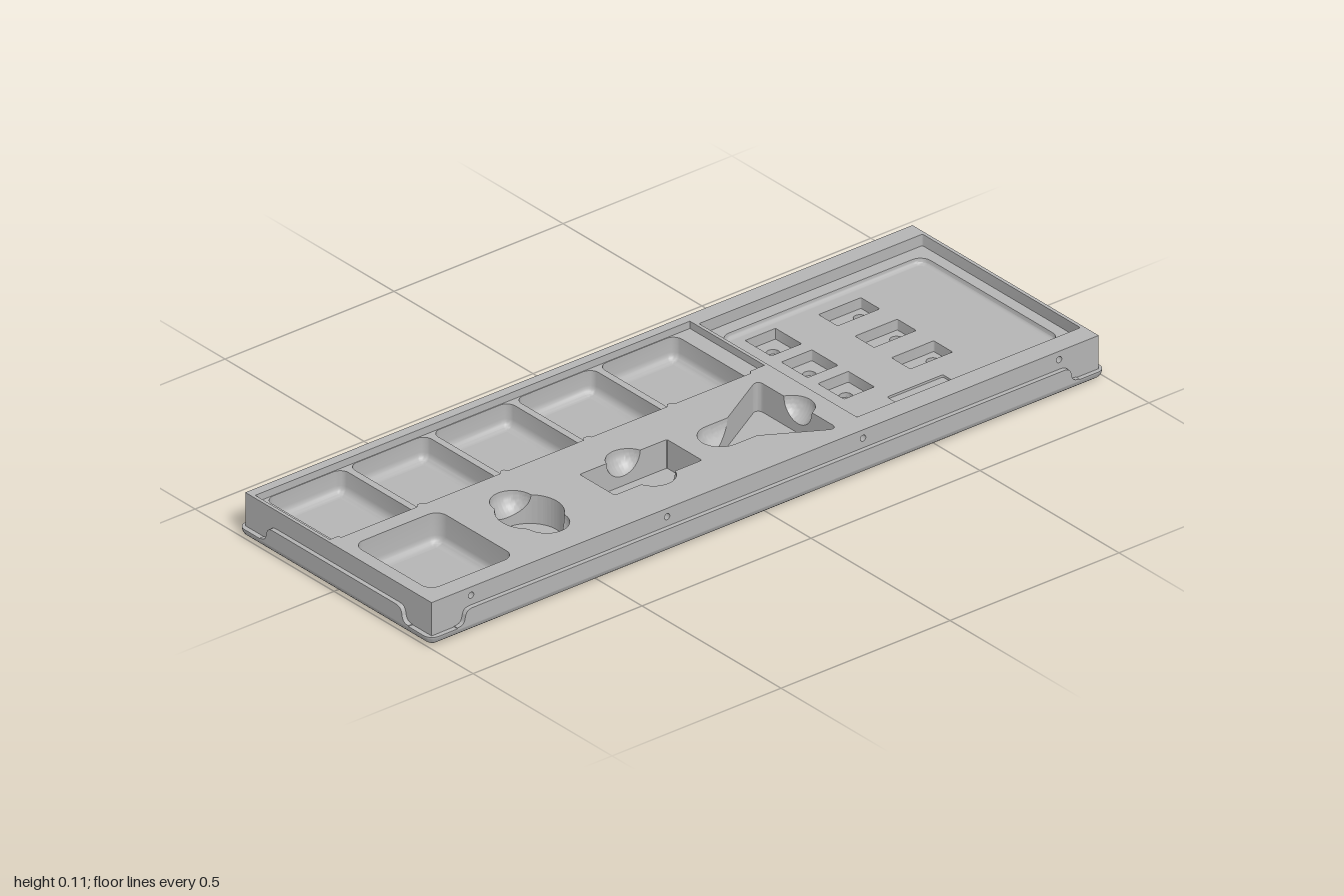
import * as THREE from 'three';
import { toCreasedNormals } from 'three/addons/utils/BufferGeometryUtils.js';

const grey = new THREE.MeshStandardMaterial({ color: 0xb4b4b4, side: THREE.DoubleSide });
grey.name = 'grey';

const TOP = 0.11, SHELF = 0.023, BX = 0.335, BZ = 0.987, PX = 0.347, PZ = 1;

function add(parent, name, geo) {
  const mesh = new THREE.Mesh(geo, grey);
  mesh.name = name;
  parent.add(mesh);
  return mesh;
}

// Outlines are lists of Vector2 holding (x, z)
function arcs(corners, half, r, n) {
  const pts = [];
  for (const [cx, cz, mid] of corners) {
    for (let i = 0; i <= n; i++) {
      const a = mid - half + (2 * half * i) / n;
      pts.push(new THREE.Vector2(cx + r * Math.cos(a), cz + r * Math.sin(a)));
    }
  }
  return pts;
}

function roundRect([x0, x1, z0, z1, r], inset = 0, n = 6) {
  const q = Math.PI / 4, k = Math.max(r, inset + 0.001);
  return arcs([[x1 - k, z1 - k, q], [x0 + k, z1 - k, 3 * q], [x0 + k, z0 + k, 5 * q], [x1 - k, z0 + k, 7 * q]],
    q, k - inset, n);
}

const circle = (x, z, r) => [x - r, x + r, z - r, z + r, r];
const at = (outline, y) => outline.map(p => new THREE.Vector3(p.x, y, p.y));

// Horizontal face with holes
function face(outline, y, holes = []) {
  const path = o => o.map(p => new THREE.Vector2(p.x, -p.y));
  const shape = new THREE.Shape(path(outline));
  shape.holes = holes.map(h => new THREE.Path(path(h)));
  return new THREE.ShapeGeometry(shape).rotateX(-Math.PI / 2).translate(0, y, 0);
}

// Skin through closed rings of equal length
function loft(rings) {
  const n = rings[0].length, pos = [], index = [];
  rings.forEach(ring => ring.forEach(p => pos.push(p.x, p.y, p.z)));
  for (let i = 0; i < rings.length - 1; i++) {
    for (let j = 0; j < n; j++) {
      const a = i * n + j, b = i * n + (j + 1) % n;
      index.push(a, b, a + n, b, b + n, a + n);
    }
  }
  const geo = new THREE.BufferGeometry();
  geo.setAttribute('position', new THREE.Float32BufferAttribute(pos, 3));
  geo.setIndex(index);
  return toCreasedNormals(geo, 0.6);
}

// Rounded pocket with a filleted floor that may hold further holes
function pocket(parent, name, rect, yTop, yBottom, fillet = 0, holes = []) {
  const rings = [at(roundRect(rect), yTop)];
  const steps = fillet ? 5 : 0;
  for (let i = 0; i <= steps; i++) {
    const a = steps ? (i / steps) * Math.PI / 2 : 0;
    rings.push(at(roundRect(rect, fillet * (1 - Math.cos(a))), yBottom + fillet * (1 - Math.sin(a))));
  }
  add(parent, name + 'Wall', loft(rings));
  add(parent, name + 'Floor', face(roundRect(rect, fillet), yBottom, holes));
  return roundRect(rect);
}

// Distance from a centre to a convex outline along a direction
function reach(outline, cx, cz, a) {
  const dx = Math.cos(a), dz = Math.sin(a);
  let best = 0;
  outline.forEach((p, i) => {
    const q = outline[(i + 1) % outline.length];
    const px = p.x - cx, pz = p.y - cz, ex = q.x - p.x, ez = q.y - p.y;
    const det = dx * ez - dz * ex;
    if (Math.abs(det) < 1e-12) return;
    const t = (px * ez - pz * ex) / det, s = (px * dz - pz * dx) / det;
    if (t > 0 && s >= -1e-6 && s <= 1 + 1e-6) best = Math.max(best, t);
  });
  return best;
}

// Shaped pocket crossed by a round-bottomed finger scoop
function scoopedPocket(parent, name, outline, scoop, floor) {
  const [x0, x1, z0, z1, R] = scoop, capsule = roundRect(scoop, 0, 14);
  const cx = (x0 + x1) / 2, cz = (z0 + z1) / 2;
  const halfX = (x1 - x0) / 2 - R, halfZ = (z1 - z0) / 2 - R, N = 288, STEPS = 8;
  const scoopY = (x, z) => {
    const d = Math.hypot(Math.max(Math.abs(x - cx) - halfX, 0), Math.max(Math.abs(z - cz) - halfZ, 0));
    return TOP - Math.sqrt(Math.max(R * R - d * d, 0));
  };
  const rings = Array.from({ length: STEPS + 1 }, () => []), rim = [], inner = [];
  for (let j = 0; j < N; j++) {
    const a = (j / N) * Math.PI * 2;
    const rIn = reach(outline, cx, cz, a), rOut = Math.max(rIn, reach(capsule, cx, cz, a));
    for (let i = 0; i <= STEPS; i++) {
      const r = rOut + (rIn - rOut) * (i / STEPS) ** 2;
      const x = cx + r * Math.cos(a), z = cz + r * Math.sin(a);
      rings[i].push(new THREE.Vector3(x, i ? scoopY(x, z) : TOP, z));
    }
    rim.push(new THREE.Vector2(rings[0][j].x, rings[0][j].z));
    inner.push(new THREE.Vector2(rings[STEPS][j].x, rings[STEPS][j].z));
  }
  add(parent, name + 'Scoop', loft(rings));
  add(parent, name + 'Wall', loft([rings[STEPS], at(inner, floor)]));
  add(parent, name + 'Floor', face(inner, floor));
  return rim;
}

export function createModel() {
  const model = new THREE.Group();
  model.name = 'sortingTray';

  // Outer pan with a rounded lower edge
  const pan = new THREE.Group();
  pan.name = 'pan';
  model.add(pan);
  const panRect = [-PX, PX, -PZ, PZ, 0.024], bend = 0.022, panRings = [];
  for (let i = 0; i <= 6; i++) {
    const a = (i / 6) * Math.PI / 2;
    panRings.push(at(roundRect(panRect, bend * (1 - Math.sin(a))), bend * (1 - Math.cos(a))));
  }
  panRings.push(at(roundRect(panRect), SHELF), at(roundRect([-BX, BX, -BZ, BZ, 0.002]), SHELF));
  add(pan, 'panSide', loft(panRings));
  add(pan, 'panBottom', face(roundRect(panRect, bend), 0).scale(1, -1, 1));

  // Raised lips on the four edges
  for (let k = 0; k < 4; k++) {
    const a = k % 2 ? 0.92 : 0.267, out = k % 2 ? PX : PZ;
    const s = new THREE.Shape();
    s.moveTo(-a, 0.02).lineTo(a, 0.02).lineTo(a, 0.025);
    s.bezierCurveTo(a - 0.038, 0.025, a - 0.008, 0.063, a - 0.046, 0.063);
    s.lineTo(0.046 - a, 0.063);
    s.bezierCurveTo(0.008 - a, 0.063, 0.038 - a, 0.025, -a, 0.025);
    const geo = new THREE.ExtrudeGeometry(s, { depth: 0.012, bevelEnabled: false, curveSegments: 14 });
    add(pan, 'lip', toCreasedNormals(geo.translate(0, 0, out - 0.012), 0.6)).rotation.y = k * Math.PI / 2;
  }

  // Insert block: end walls, and side walls with small holes
  const block = new THREE.Group();
  block.name = 'insert';
  model.add(block);
  for (const turn of [0, Math.PI]) {
    const end = new THREE.PlaneGeometry(BX * 2, TOP - SHELF).translate(0, (TOP + SHELF) / 2, BZ);
    add(block, 'endWall', end).rotation.y = turn;
    const spin = new THREE.Group(), side = new THREE.Group();
    spin.name = 'side';
    spin.rotation.y = turn;
    side.rotation.z = -Math.PI / 2;
    spin.add(side);
    block.add(spin);
    const holes = [-0.87, -0.29, 0.29, 0.87].map(z =>
      pocket(side, 'sideHole', circle(-0.088, z, 0.008), BX, BX - 0.018));
    add(side, 'sideWall', face(roundRect([-TOP, -SHELF, -BZ, BZ, 0.001]), BX, holes));
  }

  // Large tray: stepped recess with six slots, each with a round hole
  const recessY = 0.08, trayY = 0.066, slotY = 0.038;
  const slots = [];
  for (const x of [-0.174, -0.043, 0.088]) {
    for (const [w, z0, z1, hz] of [[0.034, -0.73, -0.605, -0.7], [0.047, -0.488, -0.398, -0.442]]) {
      const hole = pocket(block, 'pegHole', circle(x, hz, 0.016), slotY, 0.026);
      slots.push(pocket(block, 'slot', [x - w, x + w, z0, z1, 0.003], trayY, slotY, 0, [hole]));
    }
  }
  slots.push(pocket(block, 'fingerNotch', [0.19, 0.228, -0.645, -0.48, 0.004], trayY, trayY - 0.006));
  const tray = pocket(block, 'tray', [-0.252, 0.247, -0.948, -0.345, 0.03], recessY, trayY, 0.012, slots);
  const recess = pocket(block, 'recess', [-0.288, 0.28, -0.978, -0.317, 0.003], TOP, recessY, 0, [tray]);

  // Column of five compartments below a ledge with a scalloped edge
  const ledgeY = 0.091, cells = [];
  const ledge = [[-0.31, 0.978], [-0.31, -0.308], [-0.042, -0.308]].map(p => new THREE.Vector2(...p));
  for (let i = 0; i < 5; i++) {
    const z0 = -0.262 + i * 0.2465, z1 = z0 + 0.228;
    cells.push(pocket(block, 'compartment', [-0.308, -0.034, z0, z1, 0.025], ledgeY, 0.03, 0.022));
    ledge.push(...[[-0.042, z0 - 0.004], [-0.033, z0 + 0.003], [-0.033, z1 - 0.003], [-0.042, z1 + 0.004]]
      .map(p => new THREE.Vector2(...p)));
  }
  ledge.push(new THREE.Vector2(-0.042, 0.978));
  add(block, 'ledgeWall', loft([at(ledge, TOP), at(ledge, ledgeY)]));
  add(block, 'ledge', face(ledge, ledgeY, cells));

  // Shape pockets with finger scoops, and the square bin
  const third = Math.PI / 3, cx = 0.148;
  const triangle = arcs([1.5, 3.5, 5.5].map(k => {
    const a = k * third;
    return [cx + 0.147 * Math.cos(a), -0.165 + 0.147 * Math.sin(a), a];
  }), third, 0.012, 6);
  const openings = [
    recess, ledge,
    scoopedPocket(block, 'triangle', triangle, [cx - 0.053, cx + 0.053, -0.287, 0.032, 0.053], 0.035),
    scoopedPocket(block, 'rectangle', roundRect([0.085, 0.211, 0.085, 0.343, 0.004]),
      [0.05, 0.246, 0.161, 0.267, 0.053], 0.035),
    scoopedPocket(block, 'circle', roundRect(circle(cx, 0.543, 0.08), 0, 14),
      [0.034, 0.262, 0.49, 0.596, 0.053], 0.035),
    pocket(block, 'squareBin', [0.01, 0.286, 0.7, 0.952, 0.03], TOP, 0.03, 0.022),
  ];
  add(block, 'topFace', face(roundRect([-BX, BX, -BZ, BZ, 0.001]), TOP, openings));
  return model;
}
